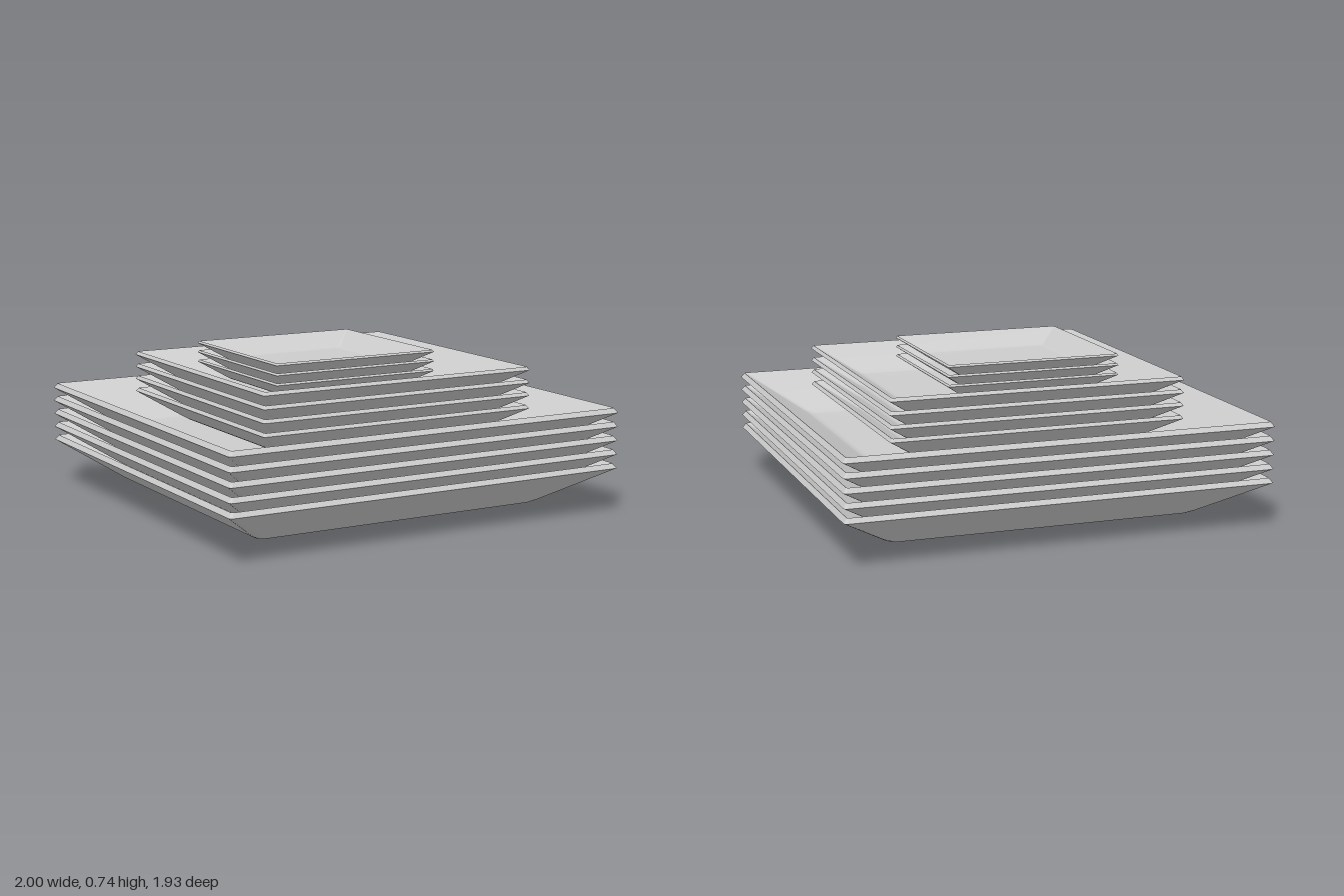
import * as THREE from 'three';

// Half sizes of the largest plate; smaller plates are scaled copies
const HALF_X = 1, HALF_Z = 0.965, CORNER_STEPS = 4;

// Rounded rectangle ring; inset is measured inwards from the rim
function ring([inset, y, radius]) {
  if (inset === null) return Array.from({ length: 4 * (CORNER_STEPS + 1) }, () => [0, y, 0]);
  const points = [];
  for (let c = 0; c < 4; c++) {
    const sx = c === 0 || c === 3 ? 1 : -1, sz = c < 2 ? 1 : -1;
    for (let s = 0; s <= CORNER_STEPS; s++) {
      const a = (c + s / CORNER_STEPS) * Math.PI / 2;
      points.push([
        sx * (HALF_X - inset - radius) + radius * Math.cos(a), y,
        sz * (HALF_Z - inset - radius) + radius * Math.sin(a),
      ]);
    }
  }
  return points;
}

// Smooth skin through a list of [inset, height, corner radius] sections
function loft(sections) {
  const rings = sections.map(ring), n = rings[0].length, index = [];
  for (let i = 0; i < rings.length - 1; i++) {
    for (let j = 0; j < n; j++) {
      const a = i * n + j, b = i * n + (j + 1) % n;
      index.push(a, a + n, b, b, a + n, b + n);
    }
  }
  const geometry = new THREE.BufferGeometry();
  geometry.setAttribute('position', new THREE.Float32BufferAttribute(rings.flat(2), 3));
  geometry.setIndex(index);
  geometry.computeVertexNormals();
  return geometry;
}

// Square foot ring under the plate
function footGeometry() {
  const square = (h) => [[-h, -h], [h, -h], [h, h], [-h, h]].map(([x, y]) => new THREE.Vector2(x, y));
  const shape = new THREE.Shape(square(0.522));
  shape.holes.push(new THREE.Path(square(0.445).reverse()));
  return new THREE.ExtrudeGeometry(shape, { depth: 0.03, bevelEnabled: false }).rotateX(-Math.PI / 2);
}

export function createModel() {
  const ceramic = new THREE.MeshStandardMaterial({ color: 0xcccccc });
  ceramic.name = 'light grey ceramic';

  // Separate skins keep the rim edges sharp
  const parts = {
    underside: loft([
      [null, 0.03, 0], [0.30, 0.03, 0.04], [0.2775, 0.035, 0.04], [0.25, 0.05, 0.04], [0, 0.218, 0.015],
    ]),
    rim: loft([[0, 0.218, 0.015], [0.016, 0.24, 0.012]]),
    dish: loft([
      [0.016, 0.24, 0.012], [0.255, 0.082, 0.025], [0.282, 0.0705, 0.025], [0.31, 0.066, 0.025], [null, 0.066, 0],
    ]),
    foot: footGeometry(),
  };

  const model = new THREE.Group();
  model.name = 'plateStack';

  // Stacks of plates, from dinner to dessert size
  const stacks = [
    { name: 'largePlate', count: 5, size: 1, x: 0, z: 0, base: 0, pitch: 0.0648 },
    { name: 'mediumPlate', count: 4, size: 0.697, x: 0.012, z: -0.003, base: 0.325, pitch: 0.06 },
    { name: 'smallPlate', count: 3, size: 0.416, x: -0.063, z: 0, base: 0.553, pitch: 0.045 },
  ];
  for (const { name, count, size, x, z, base, pitch } of stacks) {
    for (let i = 0; i < count; i++) {
      const plate = new THREE.Group();
      plate.name = name + (i + 1);
      for (const [part, geometry] of Object.entries(parts)) {
        const mesh = new THREE.Mesh(geometry, ceramic);
        mesh.name = part;
        plate.add(mesh);
      }
      plate.scale.setScalar(size);
      plate.position.set(x, base + i * pitch, z);
      model.add(plate);
    }
  }
  return model;
}
